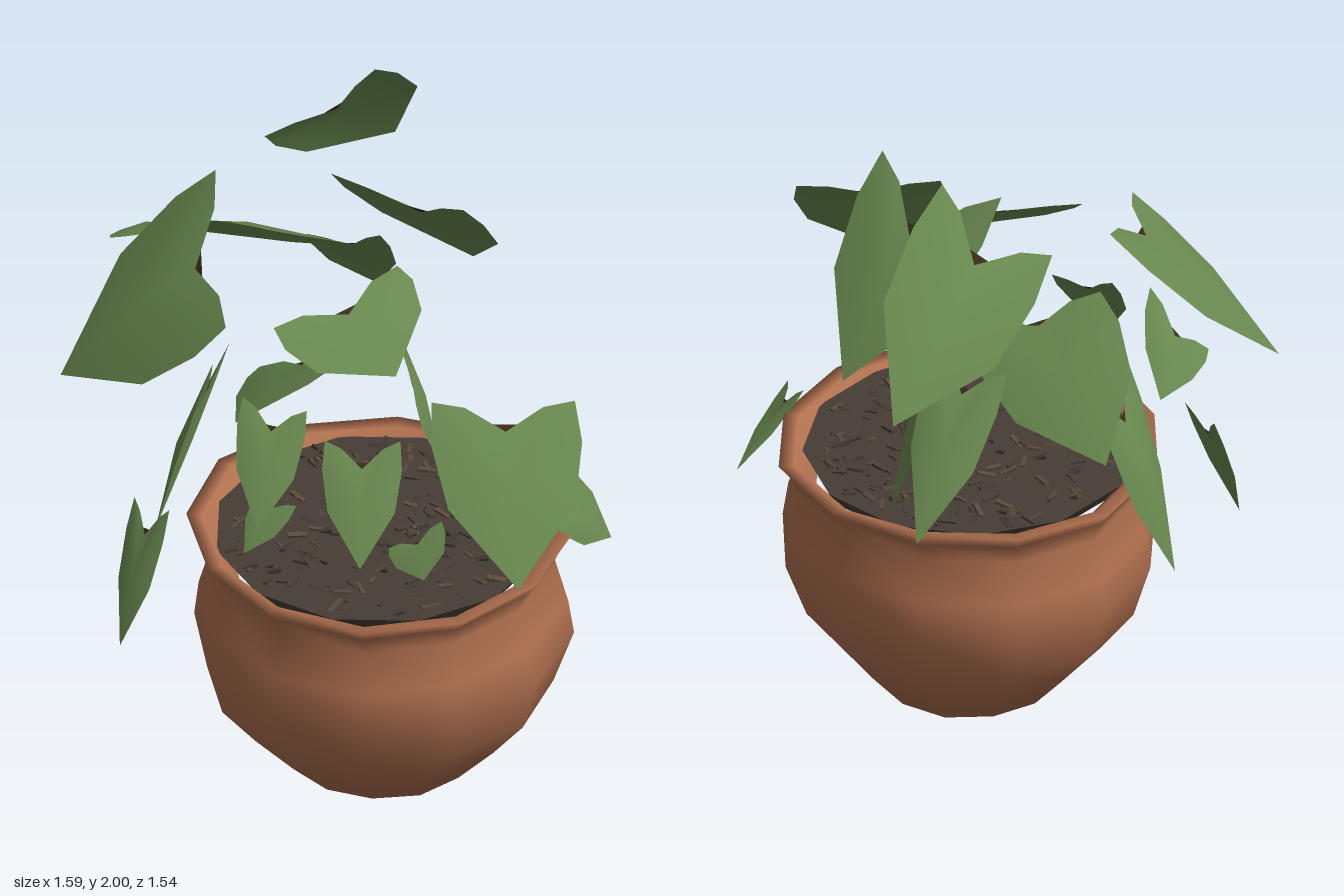
import * as THREE from 'three';

const paint = (name, color, side = THREE.FrontSide) => {
  const m = new THREE.MeshStandardMaterial({ color, side });
  m.name = name;
  return m;
};
const clay = paint('terracotta', 0xb0704f);
const soil = paint('soil', 0x463d36);
const bark = paint('bark', 0x5a4a3c);
const green = paint('leafGreen', 0x6a8a50, THREE.DoubleSide);
const brown = paint('stalkBrown', 0x3a2c18, THREE.DoubleSide);

const POT_X = 0.1, POT_Z = 0.215;

// small seeded generator
let seed = 7;
const random = () => (seed = (seed * 16807) % 2147483647) / 2147483647;

function surface(name, points, index, material) {
  const g = new THREE.BufferGeometry().setFromPoints(points);
  g.setIndex(index);
  g.computeVertexNormals();
  const mesh = new THREE.Mesh(g, material);
  mesh.name = name;
  return mesh;
}

// heart-shaped leaf spanned by its tip and two lobes; notch, sides and arch follow by rule
function leaf(name, tip, lobeA, lobeB, { wide = 0.45, notch = 0.22 } = {}) {
  const [T, A, B] = [tip, lobeA, lobeB].map((p) => new THREE.Vector3(...p));
  const N = A.clone().lerp(B, 0.5).lerp(T, notch);
  const axis = T.clone().sub(N).normalize();
  const up = A.clone().sub(T).cross(B.clone().sub(T)).normalize();
  const flip = up.y < 0;
  if (flip) up.negate();
  const C = N.clone().lerp(T, 0.4).addScaledVector(up, 0.06 * N.distanceTo(T));
  const half = (L) => {
    const out = L.clone().sub(N);
    const across = out.clone().addScaledVector(axis, -out.dot(axis));
    const inner = N.clone().addScaledVector(out, 0.55).addScaledVector(axis, -0.1 * out.length());
    const side = L.clone().lerp(T, 0.56).addScaledVector(across, wide);
    const shoulder = L.clone().lerp(side, 0.4).addScaledVector(across, 0.1);
    return [inner, L, shoulder, side];
  };
  const ring = [N, ...half(A), T, ...half(B).reverse()];
  const index = ring.flatMap((_, i) => [0, i + 1, ((i + 1) % ring.length) + 1]);
  if (!flip) index.reverse();
  const group = new THREE.Group();
  group.name = name;
  group.add(surface('blade', [C, ...ring], index, green));
  // withered scrap in the bottom of the notch
  const scrap = [N, N.clone().lerp(ring[1], 0.3), N.clone().lerp(ring[ring.length - 1], 0.3)];
  group.add(surface('stalkScar', scrap, [0, 1, 2], brown));
  return group;
}

function createPot() {
  // body, neck, flared rim and inner lip, bent slightly so it looks hand made
  const profile = [[0, 0.005], [0.27, 0.005], [0.39, 0.14], [0.495, 0.27], [0.55, 0.44],
    [0.535, 0.55], [0.495, 0.67], [0.525, 0.74], [0.56, 0.785], [0.515, 0.78], [0.475, 0.74], [0.45, 0.7]]
    .map(([r, y]) => new THREE.Vector2(r, y));
  const g = new THREE.LatheGeometry(profile, 12, 0.2);
  const p = g.attributes.position;
  for (let i = 0; i < p.count; i++) {
    const y = p.getY(i), a = Math.atan2(p.getZ(i), p.getX(i));
    const k = 1 + 0.02 * Math.sin(3 * a + y * 5);
    p.setXYZ(i, p.getX(i) * k, y, p.getZ(i) * k);
  }
  const pot = new THREE.Mesh(g, clay);
  pot.name = 'pot';
  pot.position.set(POT_X, 0, POT_Z);
  return pot;
}

function createSoil() {
  const group = new THREE.Group();
  group.name = 'soil';
  group.position.set(POT_X, 0, POT_Z);
  const disc = new THREE.Mesh(new THREE.CylinderGeometry(0.485, 0.45, 0.05, 12), soil);
  disc.name = 'soilDisc';
  disc.position.y = 0.742;
  group.add(disc);
  // scattered chips
  const chipGeo = new THREE.BoxGeometry(0.045, 0.008, 0.012);
  for (let i = 0; i < 200; i++) {
    const a = random() * Math.PI * 2, r = 0.45 * Math.sqrt(random());
    const c = new THREE.Mesh(chipGeo, i % 3 ? soil : bark);
    c.name = 'barkChip';
    c.position.set(r * Math.cos(a), 0.772, r * Math.sin(a));
    c.rotation.set(random() - 0.5, random() * 6.3, (random() - 0.5) * 0.9);
    c.scale.setScalar(0.6 + random() * 0.7);
    group.add(c);
  }
  return group;
}

export function createModel() {
  const model = new THREE.Group();
  model.name = 'pottedPlant';
  const foliage = new THREE.Group();
  foliage.name = 'foliage';

  // large upper leaves: tip, lobe, lobe
  foliage.add(
    leaf('topBackLeaf', [-0.15, 1.46, -0.77], [-0.07, 2, -0.3], [-0.37, 1.78, -0.19], { wide: 0.55 }),
    leaf('upperLeaf', [0.19, 1.32, -0.42], [-0.12, 1.81, -0.02], [0.3, 1.81, 0.05], { notch: 0.32 }),
    leaf('backSideLeaf', [-0.65, 1.26, -0.4], [-0.44, 1.58, -0.02], [-0.1, 1.44, -0.21], { notch: 0.08 }),
    leaf('bigSideLeaf', [-0.81, 1.24, 0.39], [-0.46, 1.77, 0], [-0.28, 1.58, 0.5], { notch: 0.16 }),
    leaf('frontUpperLeaf', [0.19, 1.41, 0.36], [0.12, 1.62, 0.11], [-0.16, 1.55, 0.42]),
    leaf('frontLeftLeaf', [0.67, 1, 0.73], [0.34, 1.44, 0.5], [0.72, 1.41, 0.33], { notch: 0.16 }),
  );

  // drooping middle leaves
  foliage.add(
    leaf('backDroopLeaf', [-0.17, 1, -0.66], [-0.04, 1.46, -0.25], [-0.27, 1.4, -0.28]),
    leaf('smallSideLeaf', [-0.73, 1.4, -0.21], [-0.78, 1.47, 0], [-0.55, 1.57, 0.08], { wide: 0.3 }),
    leaf('centreLeaf', [-0.32, 1.09, 0.27], [0.05, 1.34, 0.05], [-0.34, 1.08, -0.04], { wide: 0.3 }),
    leaf('frontDroopLeaf', [-0.14, 1, 0.65], [-0.25, 1.3, 0.43], [-0.06, 1.28, 0.42]),
  );

  // low leaves around the rim
  foliage.add(
    leaf('rimLeaf', [0.71, 0.67, -0.07], [0.59, 0.96, 0.02], [0.61, 0.84, 0.16]),
    leaf('innerBackLeaf', [0.1, 0.83, -0.29], [0, 1.18, -0.24], [0.2, 1.08, 0.13]),
    leaf('frontInnerLeaf', [0.13, 0.83, 0.52], [0.18, 1.13, 0.28], [-0.03, 1.13, 0.34]),
    leaf('sideDroopLeaf', [-0.6, 0.58, 0.14], [-0.41, 1.23, 0.2], [-0.42, 1.17, 0]),
    leaf('lowSideLeaf', [-0.56, 0.5, 0.63], [-0.45, 0.91, 0.5], [-0.57, 0.9, 0.45]),
    leaf('smallFrontLeaf', [-0.21, 0.84, 0.55], [-0.19, 1, 0.42], [-0.08, 0.97, 0.46]),
    leaf('sproutLeaf', [0.31, 0.8, 0.48], [0.2, 0.88, 0.46], [0.34, 0.96, 0.4]),
  );

  model.add(createPot(), createSoil(), foliage);
  return model;
}
